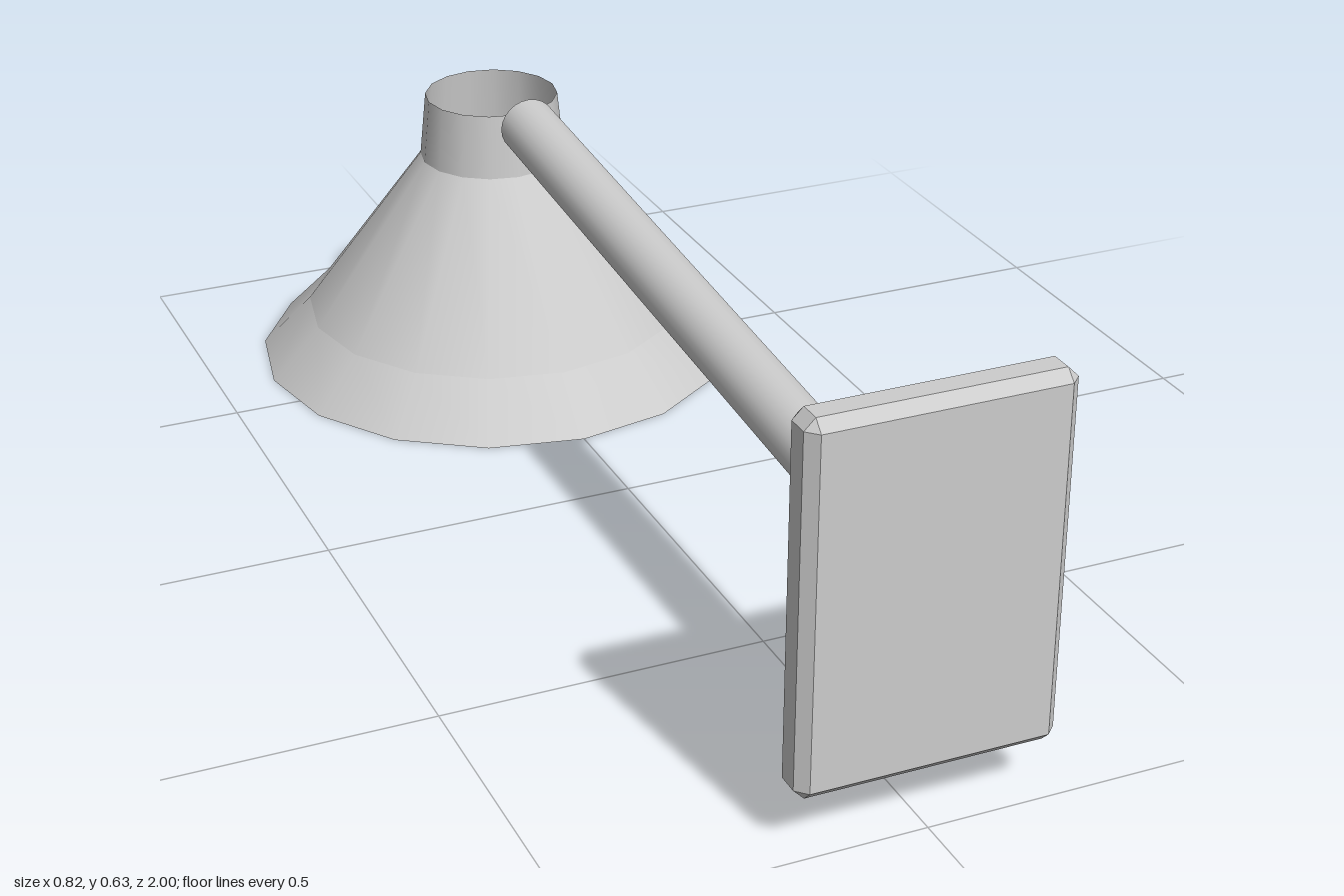
import * as THREE from 'three';

const grey = new THREE.MeshStandardMaterial({ color: 0xcccccc, side: THREE.DoubleSide });
grey.name = 'grey';

const LAMP_Z = -0.592;

function addMesh(parent, name, geometry) {
  const mesh = new THREE.Mesh(geometry, grey);
  mesh.name = name;
  parent.add(mesh);
  return mesh;
}

// Cross-section of the wall plate: a rectangle of 8 points, counterclockwise.
// cut is the corner chamfer; inset shrinks the rectangle.
function plateRing(w, h, inset, cut, z) {
  const x = w - inset, y = h - inset;
  return [
    [x, -y + cut], [x, y - cut], [x - cut, y], [-x + cut, y],
    [-x, y - cut], [-x, -y + cut], [-x + cut, -y], [x - cut, -y],
  ].map(([px, py]) => new THREE.Vector3(px, py, z));
}

// Chamfered shell, closed at the front and open at the back
function plateGeometry(w, h, depth, c) {
  const d = depth / 2;
  const rings = [
    plateRing(w, h, c, 0, -d),
    plateRing(w, h, 0, c, -d + c),
    plateRing(w, h, 0, c, d - c),
    plateRing(w, h, c, 0, d),
  ];
  const points = [];
  const triangle = (p, q, r) => {
    if (!p.equals(q) && !q.equals(r) && !r.equals(p)) points.push(p, q, r);
  };
  for (let k = 0; k < 3; k++) {
    const a = rings[k], b = rings[k + 1];
    for (let i = 0; i < 8; i++) {
      const j = (i + 1) % 8;
      triangle(a[i], a[j], b[j]);
      triangle(a[i], b[j], b[i]);
    }
  }
  const f = rings[3];
  triangle(f[0], f[1], f[3]);
  triangle(f[0], f[3], f[5]);
  const geometry = new THREE.BufferGeometry().setFromPoints(points);
  geometry.computeVertexNormals();
  return geometry;
}

export function createModel() {
  const model = new THREE.Group();
  model.name = 'wallLamp';

  // Wall plate
  const plate = addMesh(model, 'wallPlate', plateGeometry(0.191, 0.2745, 0.065, 0.016));
  plate.position.set(0, 0.3575, 0.9675);

  // Sloping arm
  const start = new THREE.Vector3(0, 0.36, 0.935);
  const end = new THREE.Vector3(0, 0.469, -0.42);
  const along = end.clone().sub(start);
  const arm = addMesh(model, 'arm', new THREE.CylinderGeometry(0.047, 0.047, along.length(), 24));
  arm.position.copy(start).add(end).multiplyScalar(0.5);
  arm.quaternion.setFromUnitVectors(new THREE.Vector3(0, 1, 0), along.normalize());

  // Open shade, one band per slope so the creases stay sharp
  const shade = new THREE.Group();
  shade.name = 'shade';
  shade.position.z = LAMP_Z;
  model.add(shade);
  const profile = [[0.408, 0], [0.325, 0.085], [0.123, 0.358], [0.112, 0.466]]
    .map(([r, y]) => new THREE.Vector2(r, y));
  ['shadeRim', 'shadeCone', 'shadeNeck'].forEach((name, i) => {
    addMesh(shade, name, new THREE.LatheGeometry([profile[i], profile[i + 1]], 16));
  });

  // Bulb inside the shade
  const bulb = addMesh(model, 'bulb', new THREE.SphereGeometry(0.117, 32, 20));
  bulb.position.set(0, 0.195, LAMP_Z);

  return model;
}
